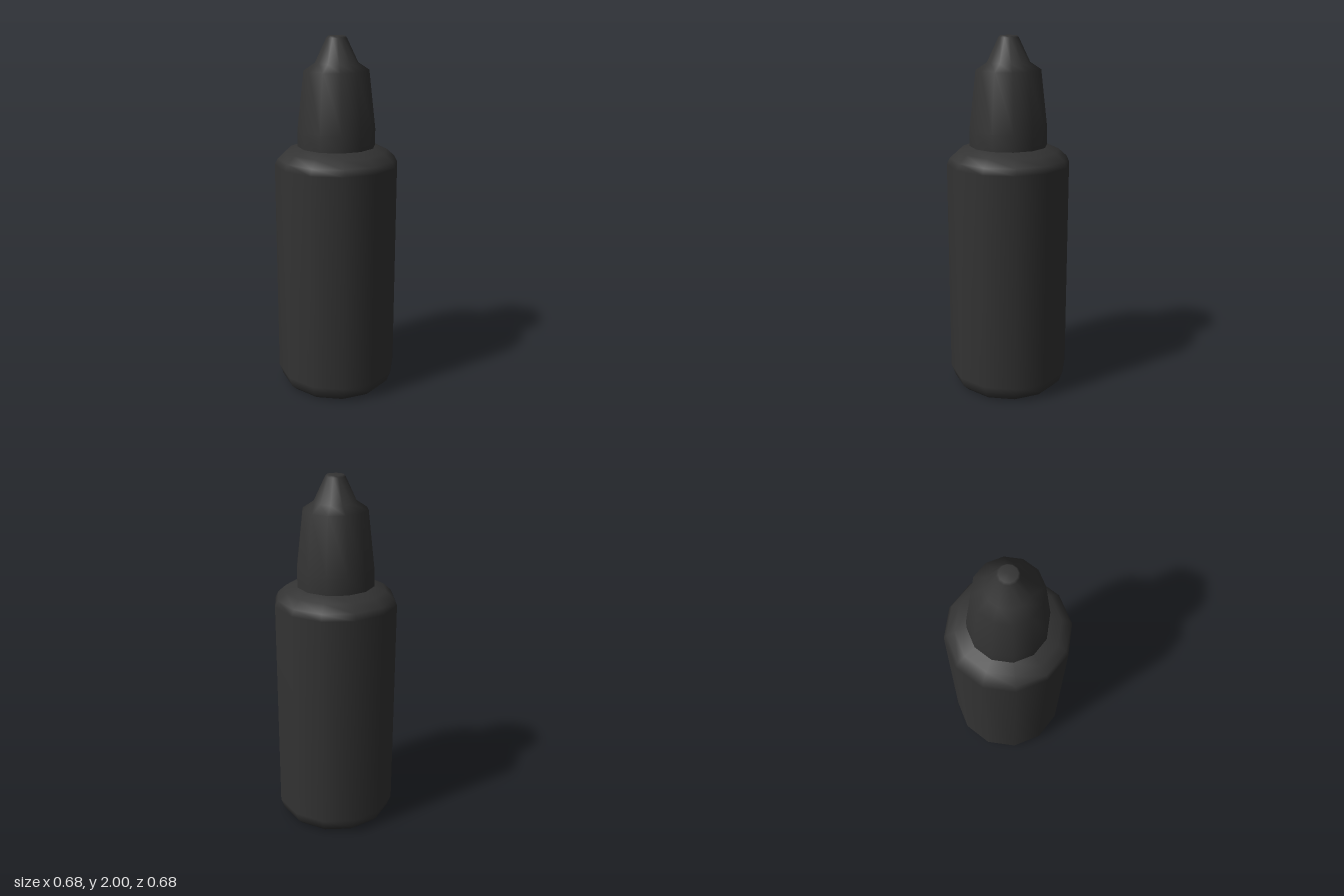
import * as THREE from 'three';

const SIDES = 12;

export function createModel() {
  const group = new THREE.Group();
  group.name = 'dropperBottle';
  const material = new THREE.MeshStandardMaterial({ color: 0x333333 });

  // Turns a [radius, height] profile, listed bottom to top, into a 12-sided part
  const addTurned = (name, profile) => {
    const points = profile.map(([r, y]) => new THREE.Vector2(r, y));
    const mesh = new THREE.Mesh(new THREE.LatheGeometry(points, SIDES), material);
    mesh.name = name;
    group.add(mesh);
  };

  // Bottle with rounded foot and shoulder
  addTurned('bottleBody', [
    [0, 0], [0.29, 0], [0.32, 0.03], [0.342, 0.09],
    [0.342, 1.31], [0.325, 1.345], [0.28, 1.385], [0.213, 1.41],
  ]);

  // Tapered cap, sloping shoulder and pointed nozzle
  addTurned('cap', [
    [0.215, 1.405], [0.215, 1.5], [0.178, 1.82], [0.117, 1.86],
    [0.055, 1.99], [0.045, 2], [0, 2],
  ]);

  return group;
}
